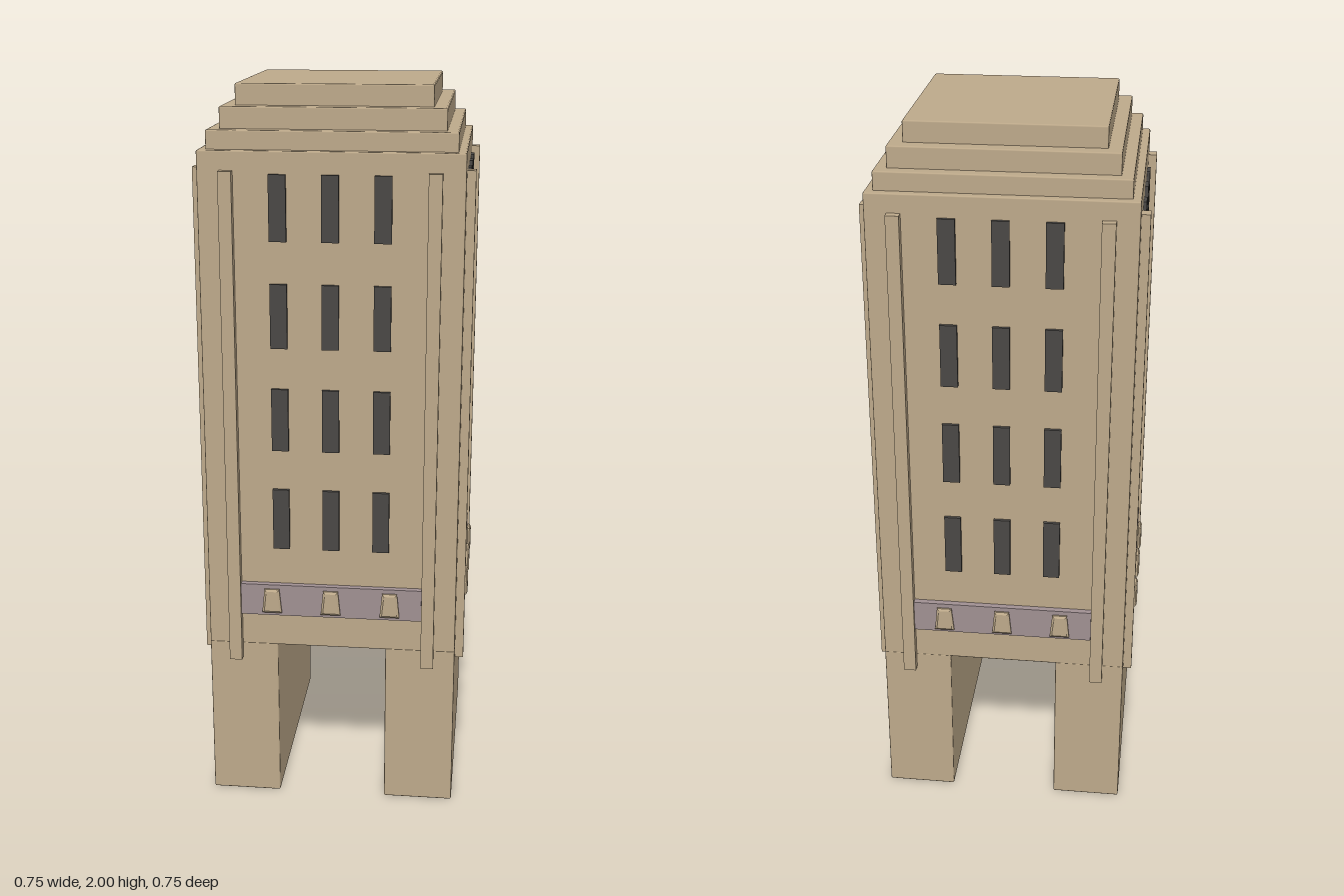
import * as THREE from 'three';
import { RoundedBoxGeometry } from 'three/addons/geometries/RoundedBoxGeometry.js';

export function createModel() {
  const mat = (name, color) => {
    const m = new THREE.MeshStandardMaterial({ color });
    m.name = name;
    return m;
  };
  const stone = mat('sandstone', 0xbda98a);
  const glass = mat('dark window', 0x4a4845);
  const mauve = mat('mauve frieze', 0xa09092);

  const tower = new THREE.Group();
  tower.name = 'tower';

  const add = (parent, name, geometry, material, x, y, z) => {
    const mesh = new THREE.Mesh(geometry, material);
    mesh.name = name;
    mesh.position.set(x, y, z);
    parent.add(mesh);
    return mesh;
  };
  // Block with finely eased edges, spanning y0 to y1
  const block = (name, w, y0, y1, d, x = 0) =>
    add(tower, name, new RoundedBoxGeometry(w, y1 - y0, d, 1, 0.004), stone, x, (y0 + y1) / 2, 0);

  // Two base walls leaving a passage front to back
  for (const s of [-1, 1]) block(s > 0 ? 'leftBaseWall' : 'rightBaseWall', 0.193, 0, 0.47, 0.688, s * 0.2475);

  // Main shaft and stepped roof
  block('shaft', 0.688, 0.466, 1.84, 0.688);
  block('lowerRoofStep', 0.646, 1.83, 1.889, 0.646);
  block('middleRoofStep', 0.584, 1.88, 1.945, 0.584);
  block('upperRoofStep', 0.512, 1.935, 2, 0.512);

  // Bevelled keystone, wider at its foot
  const outline = new THREE.Shape([
    new THREE.Vector2(-0.021, -0.029), new THREE.Vector2(0.021, -0.029),
    new THREE.Vector2(0.015, 0.029), new THREE.Vector2(-0.015, 0.029),
  ]);
  const keystone = new THREE.ExtrudeGeometry(outline, {
    depth: 0.005, bevelEnabled: true, bevelThickness: 0.004, bevelSize: 0.006, bevelSegments: 1,
  });
  const pilaster = new THREE.BoxGeometry(0.035, 1.365, 0.026);
  const windowPane = new THREE.BoxGeometry(0.045, 0.172, 0.012);
  const friezeBand = new THREE.BoxGeometry(0.5, 0.091, 0.02);

  // The same decoration on all four faces
  ['front', 'left', 'back', 'right'].forEach((side, i) => {
    const facade = new THREE.Group();
    facade.name = side + 'Facade';
    facade.rotation.y = i * Math.PI / 2;
    tower.add(facade);

    for (const s of [-1, 1]) add(facade, 'pilaster', pilaster, stone, s * 0.268, 1.1075, 0.354);
    add(facade, 'friezeBand', friezeBand, mauve, 0, 0.61, 0.351);

    for (const c of [-1, 0, 1]) {
      add(facade, 'keystone', keystone, stone, c * 0.163, 0.61, 0.364);
      for (let row = 0; row < 4; row++)
        add(facade, 'window', windowPane, glass, c * 0.136, 0.847 + row * 0.283, 0.347);
    }
  });

  return tower;
}
